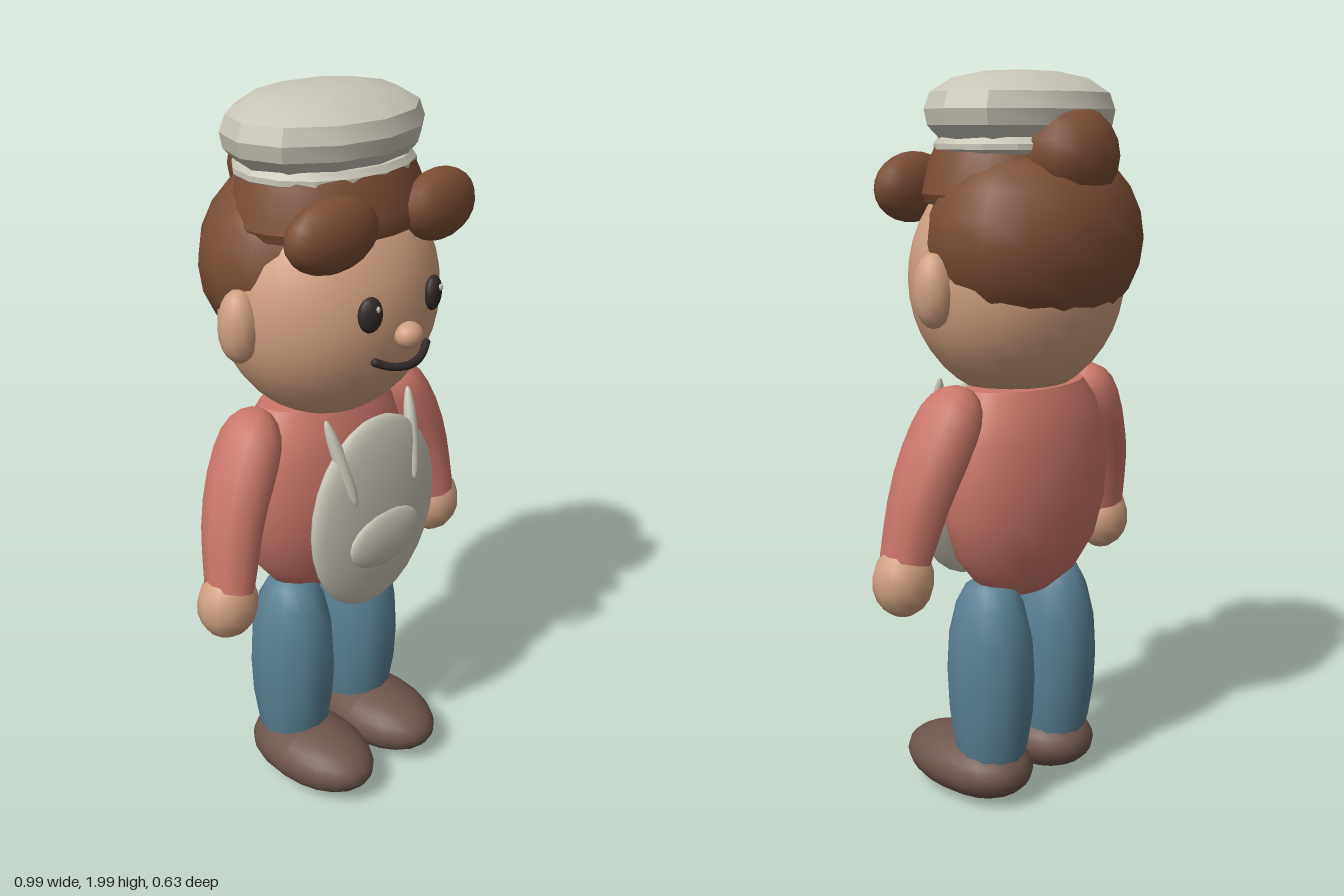
import * as THREE from 'three';
import { toCreasedNormals } from 'three/addons/utils/BufferGeometryUtils.js';

const mat = (name, color) => Object.assign(new THREE.MeshStandardMaterial({ color }), { name });

export function createModel() {
  const skin = mat('skin', 0xd0a081);
  const hair = mat('hair brown', 0x7a4d35);
  const shirt = mat('shirt red', 0xcb766a);
  const denim = mat('trouser blue', 0x5a8093);
  const leather = mat('shoe brown', 0x6c544b);
  const cream = mat('cream cloth', 0xc9c5b8);
  const dark = mat('dark features', 0x332a2a);

  const model = new THREE.Group();
  model.name = 'figure';

  function add(name, geometry, material, pos = [0, 0, 0], rot = [0, 0, 0], parent = model) {
    const mesh = new THREE.Mesh(geometry, material);
    mesh.name = name;
    mesh.position.set(...pos);
    mesh.rotation.set(...rot);
    parent.add(mesh);
    return mesh;
  }

  const ball = (rx, ry, rz, w = 20, h = 14) => new THREE.SphereGeometry(1, w, h).scale(rx, ry, rz);

  // Turned profile with an oval plan; points are [radius, y] from the bottom up
  function turned(points, zScale, segments, crease = 0.6) {
    const g = new THREE.LatheGeometry(points.map(p => new THREE.Vector2(...p)), segments);
    g.scale(1, 1, zScale);
    return toCreasedNormals(g, crease);
  }

  // Oval tube swept down a curve, radius given by a rule
  function limb(path, radius, depth, rings = 12, sides = 10) {
    const curve = new THREE.CatmullRomCurve3(path.map(p => new THREE.Vector3(...p)));
    const pos = [], index = [];
    for (let i = 0; i <= rings; i++) {
      const t = (1 - Math.cos(Math.PI * i / rings)) / 2;
      const c = curve.getPoint(t), d = curve.getTangent(t);
      const side = new THREE.Vector3(-d.y, d.x, 0).normalize();
      const r = radius(t);
      for (let j = 0; j < sides; j++) {
        const a = j / sides * Math.PI * 2;
        pos.push(c.x + side.x * r * Math.cos(a), c.y + side.y * r * Math.cos(a), c.z + r * depth * Math.sin(a));
        if (i < rings) {
          const p = i * sides + j, q = i * sides + (j + 1) % sides;
          index.push(p, q, p + sides, q, q + sides, p + sides);
        }
      }
    }
    const g = new THREE.BufferGeometry();
    g.setAttribute('position', new THREE.Float32BufferAttribute(pos, 3));
    g.setIndex(index);
    g.computeVertexNormals();
    return g;
  }

  // Head and face
  const head = new THREE.Group();
  head.name = 'head';
  model.add(head);
  add('skull', ball(0.314, 0.325, 0.268, 28, 20), skin, [0, 1.468, 0], [0, 0, 0], head);
  add('nose', ball(0.04, 0.034, 0.035, 14, 10), skin, [0, 1.424, 0.28], [0, 0, 0], head);
  const smile = new THREE.CatmullRomCurve3([
    [-0.095, 1.37, 0.256], [-0.055, 1.353, 0.276], [0, 1.347, 0.288], [0.055, 1.353, 0.276], [0.095, 1.37, 0.256],
  ].map(p => new THREE.Vector3(...p)));
  add('mouth', new THREE.TubeGeometry(smile, 16, 0.011, 8), dark, [0, 0, 0], [0, 0, 0], head);
  for (const s of [-1, 1]) {
    add('mouthCorner', ball(0.011, 0.011, 0.011, 8, 6), dark, [s * 0.095, 1.37, 0.256], [0, 0, 0], head);
    add('ear', ball(0.052, 0.096, 0.055, 12, 10), skin, [s * 0.314, 1.455, 0], [0, 0, 0], head);
    add('eye', ball(0.034, 0.046, 0.02, 14, 10), dark, [s * 0.115, 1.5, 0.256], [0, s * 0.3, 0], head);
    add('eyeGlint', ball(0.008, 0.009, 0.006, 8, 6), cream, [s * 0.115 + 0.008, 1.516, 0.273], [0, 0, 0], head);
  }

  // Hair: back shell, bun, front cap and two side rolls
  add('backHair', ball(0.326, 0.27, 0.252, 16, 12), hair, [0, 1.57, -0.065]);
  add('hairBun', ball(0.15, 0.13, 0.12, 12, 10), hair, [0, 1.785, -0.178]);
  add('hairBand', turned([[0.2, 1.655], [0.268, 1.665], [0.278, 1.69], [0.27, 1.72],
    [0.257, 1.77], [0.235, 1.815], [0, 1.835]], 0.82, 24), hair);
  for (const s of [-1, 1])
    add('hairRoll', ball(0.136, 0.092, 0.064, 16, 12), hair, [s * 0.19, 1.703, 0.2], [0, s * 0.1, s * -0.04]);

  // Cap: low band and puffed faceted crown
  add('capBand', turned([[0, 1.785], [0.235, 1.79], [0.252, 1.801], [0.252, 1.815], [0.238, 1.832], [0, 1.84]],
    0.83, 16, 0.35), cream, [0, 0, -0.015]);
  add('capCrown', turned([[0, 1.82], [0.24, 1.824], [0.278, 1.86], [0.287, 1.9], [0.27, 1.942],
    [0.205, 1.978], [0.11, 1.995], [0, 2]], 0.765, 12, 0.45), cream, [0, 0, -0.016]);

  // Torso
  add('shirt', turned([[0, 0.585], [0.09, 0.6], [0.18, 0.65], [0.245, 0.73], [0.28, 0.84], [0.288, 0.94],
    [0.273, 1.05], [0.243, 1.13], [0.2, 1.185], [0, 1.2]], 0.57, 20, 0.7), shirt, [0, 0, -0.03]);

  // Apron with pocket and shoulder straps
  add('apron', ball(0.235, 0.282, 0.048, 24, 14), cream, [0, 0.883, 0.172]);
  add('apronPocket', ball(0.135, 0.082, 0.024, 20, 10), cream, [0, 0.82, 0.216]);
  for (const s of [-1, 1])
    add('apronStrap', ball(0.02, 0.128, 0.018, 10, 10), cream, [s * 0.135, 1.075, 0.18], [-0.3, 0, s * -0.17]);

  // Arms and hands
  const armRadius = t => t < 0.45
    ? 0.086 * Math.sqrt(Math.max(0, 1 - ((0.45 - t) / 0.45) ** 2.6))
    : 0.086 - 0.022 * ((t - 0.45) / 0.55) ** 1.5;
  for (const s of [-1, 1]) {
    const path = [[s * 0.225, 1.2, -0.02], [s * 0.285, 1.1, -0.012], [s * 0.355, 0.95, 0.005], [s * 0.4, 0.76, 0.03]];
    add('sleeve', limb(path, armRadius, 1.14), shirt);
    add('hand', ball(0.086, 0.097, 0.078, 12, 9), skin, [s * 0.408, 0.708, 0.03]);
  }

  // Legs and shoes
  const shoe = ball(0.133, 0.09, 0.21, 20, 14);
  const p = shoe.attributes.position;
  for (let i = 0; i < p.count; i++) { // blunt the heel
    const z = p.getZ(i) / 0.21;
    if (z < 0) p.setZ(i, -0.21 * Math.pow(-z, 0.75));
  }
  shoe.computeVertexNormals();
  const leg = turned([[0, 0.09], [0.08, 0.1], [0.1, 0.18], [0.114, 0.28], [0.118, 0.38], [0.112, 0.49],
    [0.092, 0.58], [0.065, 0.635], [0.035, 0.658], [0, 0.665]], 1.09, 12, 0.7);
  for (const s of [-1, 1]) {
    add('leg', leg, denim, [s * 0.132, 0, -0.018]);
    add('shoe', shoe, leather, [s * 0.133, 0.096, 0.07]);
  }

  return model;
}
